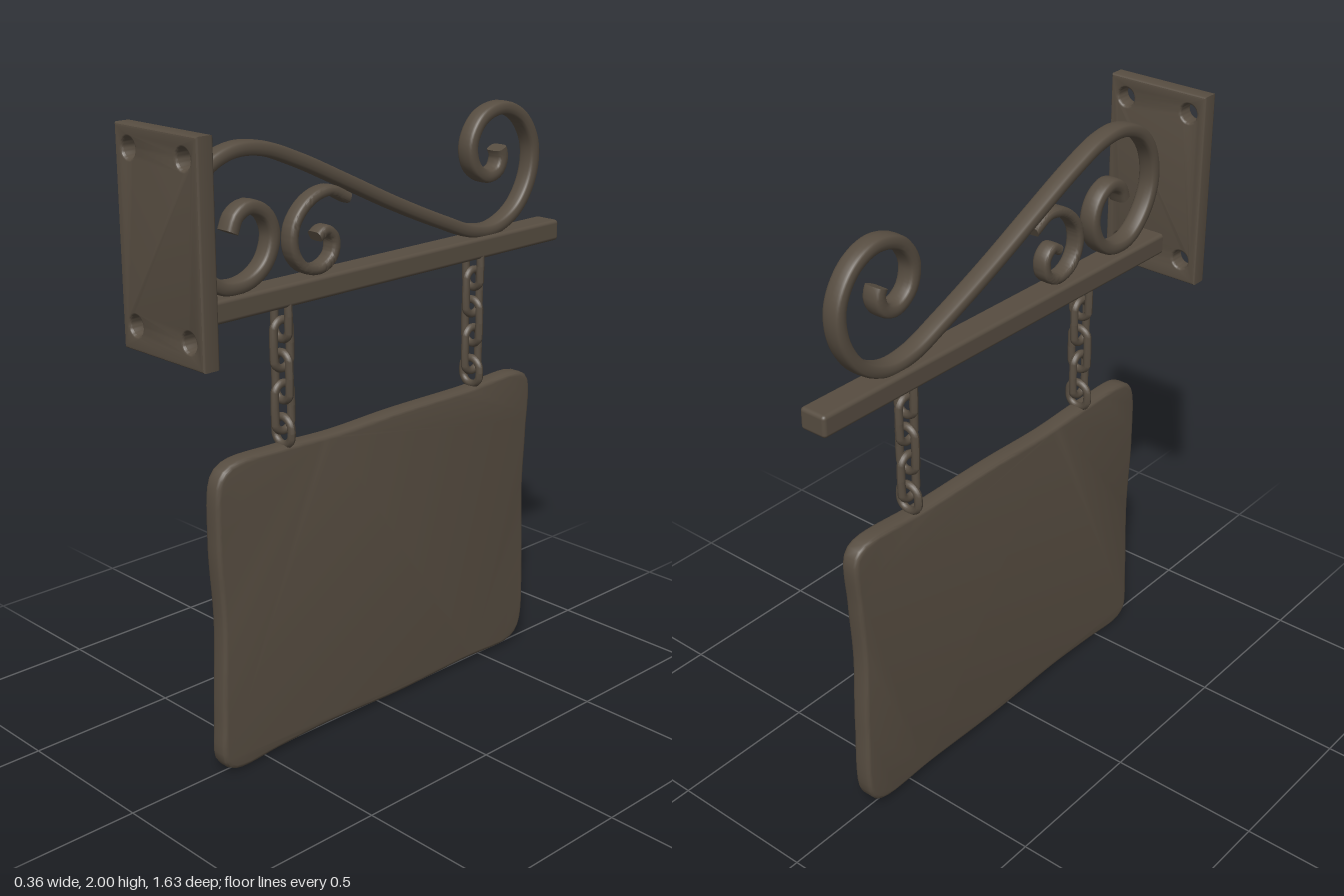
import * as THREE from 'three';
import { toCreasedNormals } from 'three/addons/utils/BufferGeometryUtils.js';
import { RoundedBoxGeometry } from 'three/addons/geometries/RoundedBoxGeometry.js';

const iron = new THREE.MeshStandardMaterial({ color: 0x574d41 });
iron.name = 'dark iron';

function add(parent, name, geometry) {
  const mesh = new THREE.Mesh(geometry, iron);
  mesh.name = name;
  parent.add(mesh);
  return mesh;
}

// Smooth curve in the z-y plane through [z, y] pairs
function sideCurve(pairs, closed = false) {
  return new THREE.CatmullRomCurve3(pairs.map(([z, y]) => new THREE.Vector3(0, y, z)), closed);
}

// Sweeps a rounded bar section (width along x, thickness in the z-y plane) along a curve
function sweepBar(curve, width, thickness, steps) {
  const sides = 16, pos = [], idx = [];
  const soft = v => Math.sign(v) * Math.pow(Math.abs(v), 0.55);
  for (let i = 0; i <= steps; i++) {
    const p = curve.getPointAt(i / steps), t = curve.getTangentAt(i / steps);
    for (let j = 0; j < sides; j++) {
      const a = (j / sides) * Math.PI * 2;
      const n = soft(Math.cos(a)) * thickness / 2;
      pos.push(soft(Math.sin(a)) * width / 2, p.y - t.z * n, p.z + t.y * n);
      if (i === steps) continue;
      const k = i * sides + j, l = i * sides + (j + 1) % sides;
      idx.push(k, l, k + sides, l, l + sides, k + sides);
    }
  }
  // End caps
  const start = curve.getPointAt(0), end = curve.getPointAt(1);
  const c = pos.length / 3, last = steps * sides;
  pos.push(start.x, start.y, start.z, end.x, end.y, end.z);
  for (let j = 0; j < sides; j++) {
    const m = (j + 1) % sides;
    idx.push(c, m, j, c + 1, last + j, last + m);
  }
  const g = new THREE.BufferGeometry();
  g.setAttribute('position', new THREE.Float32BufferAttribute(pos, 3));
  g.setIndex(idx);
  return toCreasedNormals(g, 1.0);
}

// Slab with softened edges, centred on its depth
function slab(shape, depth, bevel) {
  const g = new THREE.ExtrudeGeometry(shape, {
    depth: depth - 2 * bevel, bevelThickness: bevel, bevelSize: bevel,
    bevelOffset: -bevel, bevelSegments: 3, curveSegments: 16,
  });
  g.translate(0, 0, -depth / 2 + bevel);
  return toCreasedNormals(g, 0.7);
}

// Chain link: a ring pulled apart into an oval
function linkGeometry(height, width) {
  const tube = 0.013, g = new THREE.TorusGeometry(width / 2 - tube, tube, 10, 28);
  const p = g.attributes.position;
  for (let i = 0; i < p.count; i++) {
    const y = p.getY(i);
    p.setY(i, y + Math.sign(Math.round(y * 1e5)) * (height - width) / 2);
  }
  g.computeVertexNormals();
  return g;
}

export function createModel() {
  const model = new THREE.Group();
  model.name = 'hangingSign';

  // Wall plate with four screw holes
  const plate = new THREE.Shape();
  plate.moveTo(-0.18, 1.36).lineTo(0.18, 1.36).lineTo(0.18, 2).lineTo(-0.18, 2).closePath();
  for (const x of [-0.12, 0.12]) for (const y of [1.435, 1.935]) {
    plate.holes.push(new THREE.Path().absarc(x, y, 0.03, 0, Math.PI * 2, true));
  }
  add(model, 'wallPlate', slab(plate, 0.058, 0.008)).position.z = 0.789;

  // Horizontal beam, rising slightly towards its free end
  const beam = add(model, 'beam', new RoundedBoxGeometry(0.094, 0.07, 1.59, 3, 0.012));
  beam.position.set(-0.003, 1.478, -0.018);
  beam.rotation.x = 0.009;

  // Large S-scroll brace
  add(model, 'largeScroll', sweepBar(sideCurve([
    [0.577, 1.685], [0.556, 1.728], [0.508, 1.749], [0.45, 1.722], [0.423, 1.659],
    [0.45, 1.579], [0.519, 1.532], [0.614, 1.532], [0.693, 1.595], [0.735, 1.69],
    [0.72, 1.796], [0.656, 1.876], [0.561, 1.913], [0.455, 1.907], [0.323, 1.86],
    [0.138, 1.775], [-0.074, 1.675], [-0.286, 1.585], [-0.418, 1.537], [-0.524, 1.532],
    [-0.63, 1.585], [-0.693, 1.685], [-0.698, 1.791], [-0.64, 1.881], [-0.55, 1.918],
    [-0.455, 1.892], [-0.407, 1.817], [-0.423, 1.743], [-0.481, 1.706], [-0.534, 1.722],
    [-0.55, 1.765], [-0.54, 1.79],
  ]), 0.064, 0.044, 220));

  // Small scroll tucked under the brace
  add(model, 'smallScroll', sweepBar(sideCurve([
    [0.127, 1.722], [0.201, 1.754], [0.28, 1.733], [0.339, 1.669], [0.344, 1.595],
    [0.307, 1.542], [0.243, 1.526], [0.19, 1.558], [0.185, 1.611], [0.217, 1.638],
    [0.249, 1.622],
  ]), 0.056, 0.034, 90));

  // Two chains of alternating links
  for (const [name, z, lift] of [['frontChain', 0.385, 0], ['backChain', -0.44, 0.01]]) {
    const chain = new THREE.Group();
    chain.name = name;
    chain.position.set(0, lift, z);
    [1.41, 1.32, 1.22, 1.125, 1.05].forEach((y, i) => {
      const g = i === 4 ? linkGeometry(0.115, 0.1) : linkGeometry(0.175, 0.09);
      const link = add(chain, 'chainLink', g);
      link.position.y = y;
      if (i % 2) link.rotation.y = Math.PI / 2;
    });
    model.add(chain);
  }

  // Hand-beaten sign board with an uneven outline
  const outline = sideCurve([
    [0.655, 0.965], [0.61, 1.003], [0.42, 1.01], [0.19, 1.002], [-0.07, 1.01], [-0.4, 1.01],
    [-0.66, 1.015], [-0.7, 0.98], [-0.697, 0.8], [-0.687, 0.6], [-0.697, 0.34],
    [-0.69, 0.07], [-0.645, 0.022], [-0.4, 0.018], [-0.07, 0.01], [0.24, 0.018],
    [0.45, 0.01], [0.62, 0.003], [0.665, 0.035], [0.668, 0.18], [0.657, 0.5], [0.67, 0.76],
  ], true).getSpacedPoints(160).slice(0, -1);
  const board = slab(new THREE.Shape(outline.map(p => new THREE.Vector2(p.z, Math.max(p.y, 0)))), 0.062, 0.014);
  board.rotateY(-Math.PI / 2);
  add(model, 'signBoard', board);

  return model;
}
